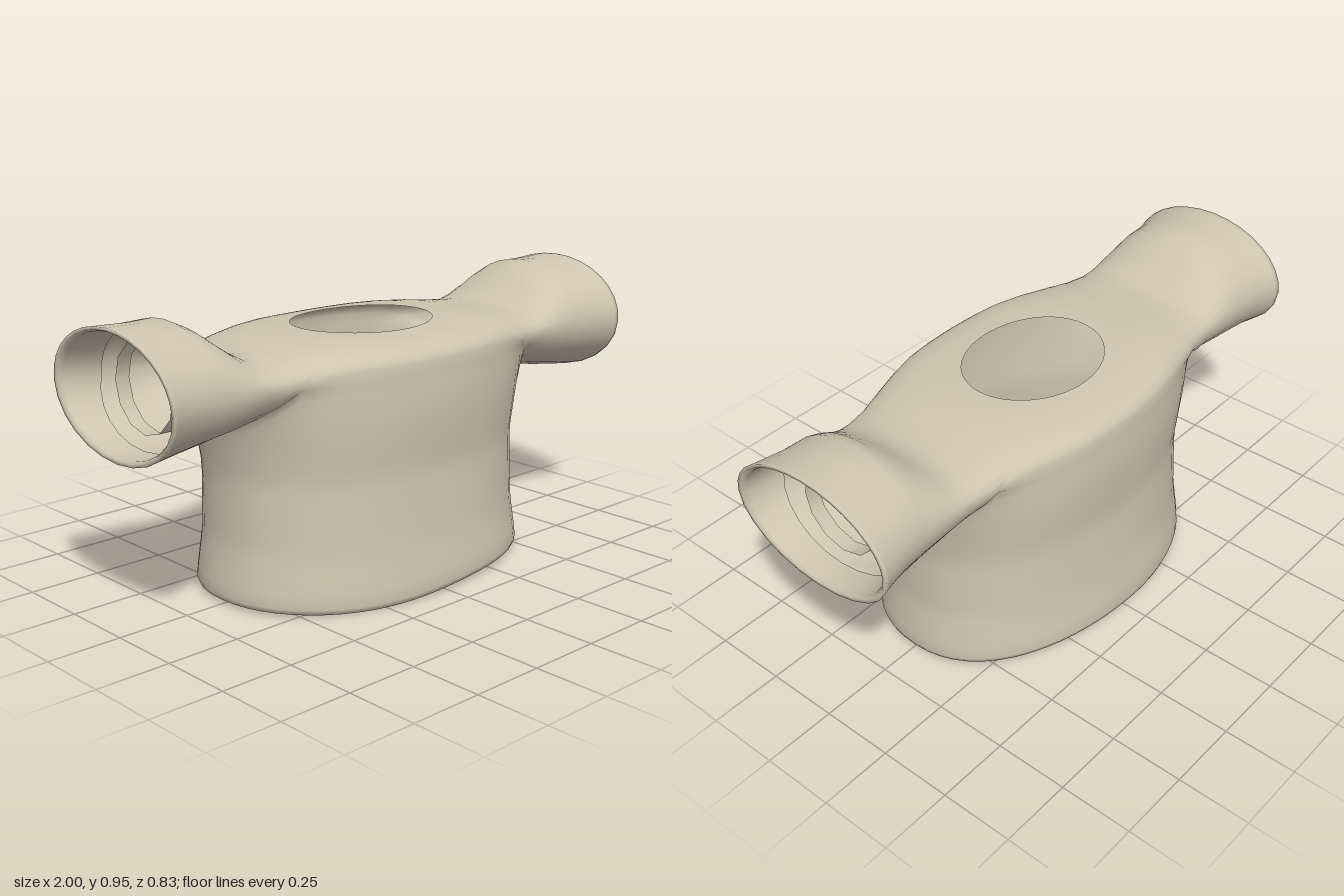
import * as THREE from 'three';
import { mergeVertices } from 'three/addons/utils/BufferGeometryUtils.js';

const V = (x, y, z) => new THREE.Vector3(x, y, z);
const lerp = THREE.MathUtils.lerp;
const spow = (v, p) => Math.sign(v) * Math.pow(Math.abs(v), p);

// piecewise profile lookup
function profile(points, t) {
  if (t <= points[0][0]) return points[0][1];
  for (let i = 1; i < points.length; i++) {
    const [a, va] = points[i - 1], [b, vb] = points[i];
    if (t <= b) return lerp(va, vb, (t - a) / (b - a));
  }
  return points[points.length - 1][1];
}

const BASE = 0.745; // height of the widest line of shoulders and sleeves
const XS = 0.5;     // where the yoke turns into the sleeve
const HALF_DEPTH = [[0, 0.385], [0.1, 0.382], [0.2, 0.372], [0.3, 0.348], [0.4, 0.317], [0.5, 0.287],
  [0.6, 0.272], [0.8, 0.275], [0.9, 0.284], [1, 0.308]];
const TOP = [[0, 0.845], [0.3, 0.845], [0.4, 0.839], [0.5, 0.828], [0.58, 0.824], [0.62, 0.834], [0.66, 0.856],
  [0.7, 0.888], [0.75, 0.928], [0.8, 0.952], [0.88, 0.949], [1, 0.953]];
const DROP = [[0.5, 0.105], [0.62, 0.14], [0.7, 0.16], [0.8, 0.178], [0.9, 0.192], [1, 0.203]];
const ROUND = [[0.2, 3.2], [0.5, 2.6], [0.75, 2]];
const BODY_X = [[0, 0.62], [0.08, 0.611], [0.2, 0.596], [0.42, 0.597], [0.58, 0.618]];
const BODY_Z = [[0, 0.415], [0.05, 0.415], [0.18, 0.394], [0.42, 0.376], [0.6, 0.392], [0.75, 0.382]];
const N_BODY = 2.2;

// slight slant of the cuffs
const slant = (x, y) => {
  const k = Math.max(0, (Math.abs(x) - XS) / (1 - XS));
  return x - Math.sign(x) * 0.02 * k ** 4 * (0.955 - y) / 0.4;
};

// upper surface: v = 1 front, 0 ridge, -1 back
function upper(x, v) {
  const ax = Math.abs(x), p = 2 / profile(ROUND, ax), a = v * Math.PI / 2;
  const y = BASE + (profile(TOP, ax) - BASE) * Math.pow(Math.max(0, Math.cos(a)), p);
  return V(slant(x, y), y, profile(HALF_DEPTH, ax) * spow(Math.sin(a), p));
}

// underside of a sleeve: f = 0 front, 1 back
function lower(side, x, f) {
  const s = Math.sin(f * Math.PI), ax = x + 0.14 * s * (1 - (x - XS) / (1 - XS));
  const y = BASE - profile(DROP, ax) * s;
  return V(slant(side * ax, y), y, profile(HALF_DEPTH, ax) * Math.cos(f * Math.PI));
}

// horizontal body section
function section(theta, y) {
  const p = 2 / N_BODY;
  return V(profile(BODY_X, y) * spow(Math.cos(theta), p), y, profile(BODY_Z, y) * spow(Math.sin(theta), p));
}

// skin a list of equal rows of points
function skin(out, rows, flip) {
  for (let i = 0; i + 1 < rows.length; i++) {
    for (let j = 0; j + 1 < rows[i].length; j++) {
      const a = rows[i][j], b = rows[i][j + 1], c = rows[i + 1][j + 1], d = rows[i + 1][j];
      for (const p of flip ? [a, c, b, a, d, c] : [a, b, c, a, c, d]) out.push(p.x, p.y, p.z);
    }
  }
}

const NX = 20, NV = 16, NL = 12;

// yoke: grid running from the neck opening out to the shoulder border
function addYoke(out) {
  const border = [];
  for (let i = 0; i < NX; i++) border.push([-1 + 2 * i / NX, 1]);
  for (let i = 0; i < NV; i++) border.push([1, 1 - 2 * i / NV]);
  for (let i = 0; i < NX; i++) border.push([1 - 2 * i / NX, -1]);
  for (let i = 0; i <= NV; i++) border.push([-1, -1 + 2 * i / NV]);
  const rows = [];
  for (let r = 0; r <= 10; r++) {
    rows.push(border.map(([u, v]) => {
      const a = Math.atan2(v, u), nx = 0.257 * Math.cos(a), nz = 0.21 * Math.sin(a);
      const n = profile(ROUND, Math.abs(nx));
      const sinA = Math.pow(Math.abs(nz) / profile(HALF_DEPTH, Math.abs(nx)), n / 2);
      const nv = Math.sign(nz) * Math.asin(sinA) / (Math.PI / 2);
      return r === 10 ? upper(u * XS, v) : upper(lerp(nx, u * XS, r / 10), lerp(nv, v, r / 10));
    }));
  }
  skin(out, rows, true);
}

// torso: columns from the yoke border and underarms down to the hem
function addTorso(out) {
  const columns = [];
  const angle = x => Math.acos(spow(x / 0.62, N_BODY / 2));
  const t0 = angle(XS);
  for (let i = 0; i < NX; i++) {
    const x = (-1 + 2 * i / NX) * XS;
    columns.push([upper(x, 1), angle(x)]);
  }
  for (let i = 0; i < NL; i++) columns.push([lower(1, XS, i / NL), lerp(t0, -t0, i / NL)]);
  for (let i = 0; i < NX; i++) {
    const x = (1 - 2 * i / NX) * XS;
    columns.push([upper(x, -1), -angle(x)]);
  }
  for (let i = 0; i < NL; i++) columns.push([lower(-1, XS, 1 - i / NL), lerp(-Math.PI + t0, -Math.PI - t0, i / NL)]);
  columns.push(columns[0]);
  const rows = [];
  const hemY = x => 0.011 + 0.01 * Math.sin(5.5 * x);
  for (let r = 0; r <= 16; r++) {
    rows.push(columns.map(([top, theta]) => {
      const t = r / 16;
      const y = lerp(top.y, hemY(section(theta, 0).x) + 0.018, t);
      const k = Math.max(0, 1 - t / 0.4) ** 2;
      return section(theta, y).lerp(top, k);
    }));
  }
  // rolled hem and its inner face
  for (const [scale, dy] of [[0.985, 0], [0.955, 0.002], [0.94, 0.022], [0.945, 0.14]]) {
    rows.push(columns.map(([, theta]) => {
      const p = section(theta, 0.02);
      return V(p.x * scale, hemY(p.x) + dy, p.z * scale);
    }));
  }
  skin(out, rows, true);
}

// sleeve: closed rings along x, ending in a turned-in cuff
function addSleeve(out, side) {
  const ring = x => {
    const pts = [];
    for (let i = 0; i < NV; i++) pts.push(upper(side * x, 1 - 2 * i / NV));
    for (let i = 0; i <= NL; i++) pts.push(lower(side, x, 1 - i / NL));
    return pts;
  };
  const rows = [0.5, 0.54, 0.58, 0.62, 0.66, 0.7, 0.75, 0.8, 0.88, 0.95, 0.985, 1].map(ring);
  for (const [x, scale] of [[1, 0.95], [0.985, 0.925], [0.85, 0.95]]) {
    rows.push(ring(x).map(p => V(p.x, lerp(0.75, p.y, scale), p.z * scale)));
  }
  skin(out, rows, side > 0);
}

export function createModel() {
  const cloth = new THREE.MeshStandardMaterial({ color: 0xcfc4b0, side: THREE.DoubleSide });
  cloth.name = 'beige cloth';
  const model = new THREE.Group();
  model.name = 'shirt';

  const points = [];
  addYoke(points);
  addTorso(points);
  addSleeve(points, 1);
  addSleeve(points, -1);
  let shell = new THREE.BufferGeometry();
  shell.setAttribute('position', new THREE.Float32BufferAttribute(points, 3));
  shell = mergeVertices(shell, 1e-4);
  shell.computeVertexNormals();
  const shirt = new THREE.Mesh(shell, cloth);
  shirt.name = 'shirtShell';
  model.add(shirt);

  // short open rings inside the sleeves
  for (const side of [1, -1]) {
    const band = new THREE.Mesh(new THREE.CylinderGeometry(0.146, 0.146, 0.05, 12, 1, true), cloth);
    band.name = side > 0 ? 'leftSleeveRing' : 'rightSleeveRing';
    band.rotation.z = Math.PI / 2;
    band.position.set(side * 0.85, 0.755, -0.004);
    model.add(band);
  }
  return model;
}
